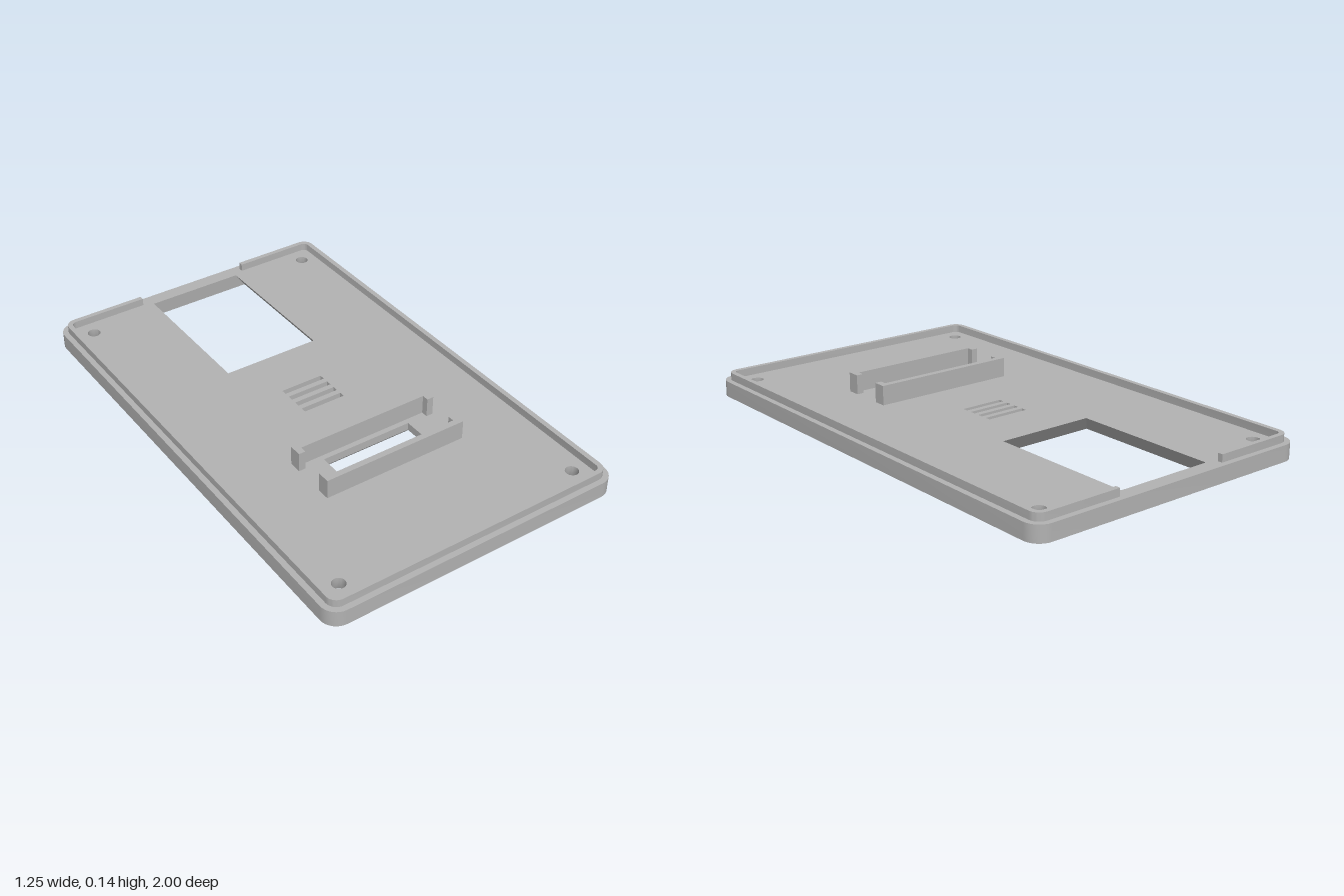
import * as THREE from 'three';
import { toCreasedNormals } from 'three/addons/utils/BufferGeometryUtils.js';

const V = (x, z) => new THREE.Vector2(x, z);

// Counter-clockwise loops in plan (x, z)
const rect = (x0, x1, z0, z1) => [V(x0, z0), V(x1, z0), V(x1, z1), V(x0, z1)];

function circle(cx, cz, r, n = 28) {
  return Array.from({ length: n }, (_, i) => {
    const a = (i / n) * Math.PI * 2;
    return V(cx + r * Math.cos(a), cz + r * Math.sin(a));
  });
}

// Rounded rectangle starting at the back (+x, -z) corner
function rounded(hx, hz, r, n = 8) {
  const pts = [];
  [[1, -1], [1, 1], [-1, 1], [-1, -1]].forEach(([sx, sz], q) => {
    for (let i = 0; i <= n; i++) {
      const a = (q - 1 + i / n) * Math.PI / 2;
      pts.push(V(sx * (hx - r) + r * Math.cos(a), sz * (hz - r) + r * Math.sin(a)));
    }
  });
  return pts;
}

// Upright solid whose holes may change size with height.
// Each hole is { rings: [[y, loop], ...], blind }
function solid(outer, y0, y1, holes = []) {
  const pos = [];
  const tri = (...p) => p.forEach(([v, y]) => pos.push(v.x, y, v.y));

  const cap = (loop, inner, y, up) => {
    const all = [loop, ...inner].flat();
    for (const f of THREE.ShapeUtils.triangulateShape(loop, inner)) {
      let [a, b, c] = f.map(i => all[i]);
      const ccw = (b.x - a.x) * (c.y - a.y) - (b.y - a.y) * (c.x - a.x) > 0;
      if (ccw === up) [b, c] = [c, b];
      tri([a, y], [b, y], [c, y]);
    }
  };

  const wall = (lo, ya, hi, yb, inward) => {
    lo.forEach((a, i) => {
      const j = (i + 1) % lo.length;
      const a0 = [a, ya], b0 = [lo[j], ya], a1 = [hi[i], yb], b1 = [hi[j], yb];
      if (inward) { tri(a0, b0, b1); tri(a0, b1, a1); }
      else { tri(a0, b1, b0); tri(a0, a1, b1); }
    });
  };

  cap(outer, holes.map(h => h.rings[0][1]), y0, false);
  cap(outer, holes.filter(h => !h.blind).map(h => h.rings.at(-1)[1]), y1, true);
  wall(outer, y0, outer, y1, false);
  for (const { rings, blind } of holes) {
    for (let i = 1; i < rings.length; i++) {
      wall(rings[i - 1][1], rings[i - 1][0], rings[i][1], rings[i][0], true);
    }
    if (blind) cap(rings.at(-1)[1], [], rings.at(-1)[0], false);
  }

  const g = new THREE.BufferGeometry();
  g.setAttribute('position', new THREE.Float32BufferAttribute(pos, 3));
  return toCreasedNormals(g, 0.5);
}

export function createModel() {
  const model = new THREE.Group();
  const grey = new THREE.MeshStandardMaterial({ color: 0xb2b2b2 });
  grey.name = 'grey plastic';
  const add = (name, geometry) => {
    const mesh = new THREE.Mesh(geometry, grey);
    mesh.name = name;
    model.add(mesh);
  };

  const T = 0.065; // plate thickness
  const holes = [];

  // Large window, bevelled below on three sides
  holes.push({ rings: [
    [0, rect(-0.25, 0.25, -0.945, -0.285)],
    [T, rect(-0.204, 0.204, -0.94, -0.33)],
  ] });

  // Small window between the clips, with a bevel in its lower half
  holes.push({ rings: [
    [0, rect(-0.222, 0.222, 0.297, 0.495)],
    [0.033, rect(-0.193, 0.193, 0.327, 0.464)],
    [T, rect(-0.193, 0.193, 0.327, 0.464)],
  ] });

  // Four vent slots
  for (let i = 0; i < 4; i++) {
    const z = -0.111 + i * 0.0455;
    const slot = rect(-0.09, 0.09, z, z + 0.023);
    holes.push({ rings: [[0, slot], [T, slot]] });
  }

  // Countersunk corner screw holes
  for (const x of [-0.515, 0.515]) for (const z of [-0.885, 0.885]) {
    holes.push({ rings: [
      [0, circle(x, z, 0.042)],
      [0.04, circle(x, z, 0.026)],
      [T, circle(x, z, 0.026)],
    ] });
  }

  // Hairline grooves under the plate
  const groove = (...r) => holes.push({ blind: true, rings: [[0, rect(...r)], [0.008, rect(...r)]] });
  groove(-0.38, 0.38, 0.937, 0.943);
  for (const s of [-1, 1]) {
    groove(s * 0.55 - 0.003, s * 0.55 + 0.003, -0.7, 0.7);
    groove(s * 0.36 - 0.06, s * 0.36 + 0.06, -0.928, -0.922);
  }

  add('basePlate', solid(rounded(0.625, 1, 0.065), 0, T, holes));

  // Raised lip, open in the middle of the back
  const gap = 0.246;
  const lipOuter = [V(gap, -0.977), ...rounded(0.602, 0.977, 0.042), V(-gap, -0.977)];
  const lipInner = [V(gap, -0.957), ...rounded(0.581, 0.957, 0.022), V(-gap, -0.957)];
  add('rimLip', solid([...lipOuter, ...lipInner.reverse()], T, 0.096));

  // Pair of hooked clips facing each other across the small window
  const clip = [
    V(-0.305, -0.116), V(0.305, -0.116), V(0.305, -0.064), V(0.277, -0.064),
    V(0.277, -0.091), V(-0.277, -0.091), V(-0.277, -0.064), V(-0.305, -0.064),
  ];
  const place = s => clip.map(p => V(s * p.x, 0.396 + s * p.y));
  add('backClip', solid(place(1), T, 0.144));
  add('frontClip', solid(place(-1), T, 0.144));

  return model;
}
